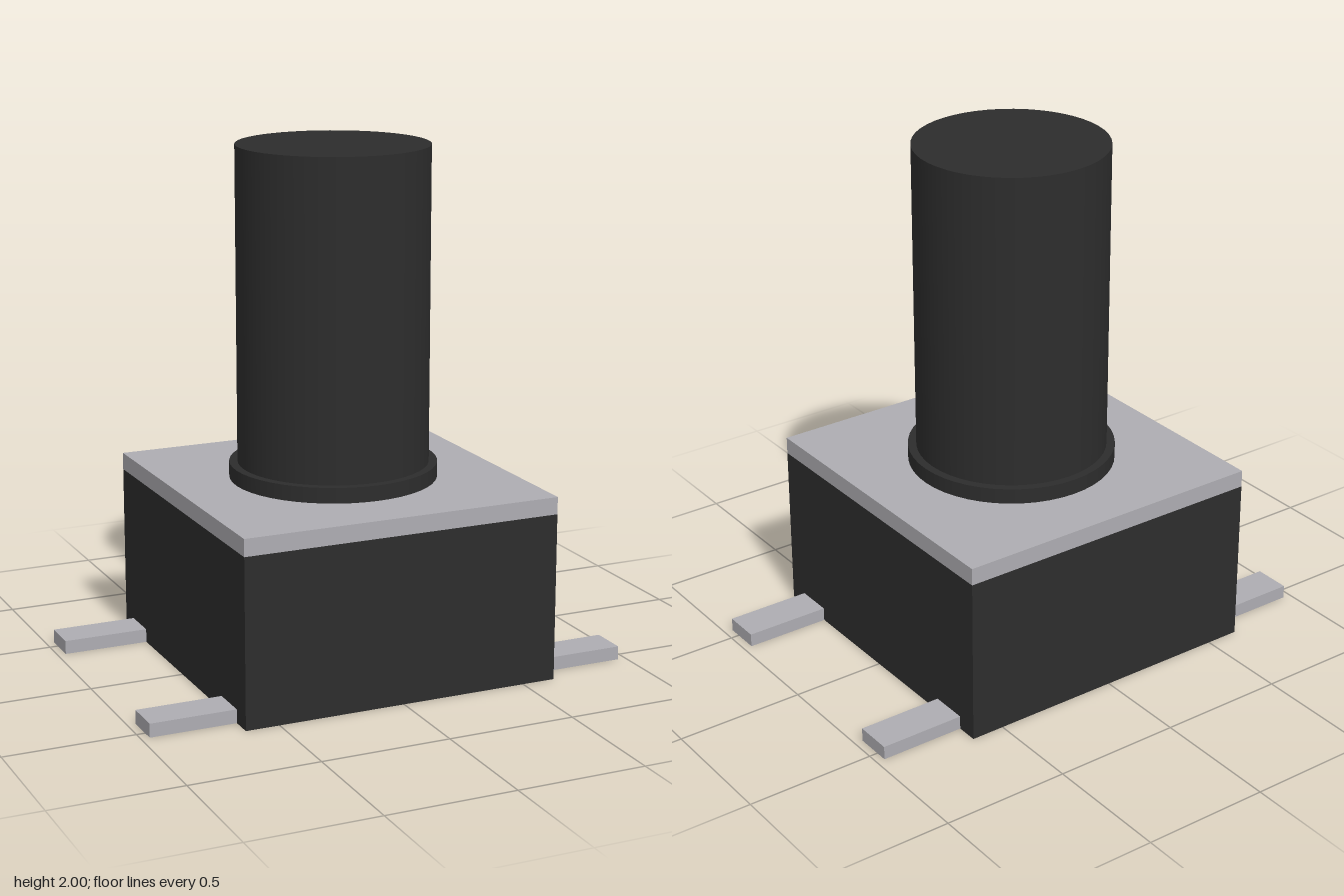
import * as THREE from 'three';

export function createModel() {
  const model = new THREE.Group();
  model.name = 'pushButtonSwitch';

  const plastic = new THREE.MeshStandardMaterial({ color: 0x2d2d2d });
  plastic.name = 'black plastic';
  const metal = new THREE.MeshStandardMaterial({ color: 0xaeadb2 });
  metal.name = 'grey metal';

  const add = (name, geometry, material, x, y, z) => {
    const mesh = new THREE.Mesh(geometry, material);
    mesh.name = name;
    mesh.position.set(x, y, z);
    model.add(mesh);
  };

  const half = 0.632; // half width of the square housing
  const bodyTop = 0.653, plateTop = 0.72, collarTop = 0.78, top = 2;

  // Adds a box or upright cylinder between two heights
  const block = (name, material, y0, y1) =>
    add(name, new THREE.BoxGeometry(half * 2, y1 - y0, half * 2), material, 0, (y0 + y1) / 2, 0);
  const column = (name, radius, y0, y1) =>
    add(name, new THREE.CylinderGeometry(radius, radius, y1 - y0, 48), plastic, 0, (y0 + y1) / 2, 0);

  // Housing and its metal cover
  block('housing', plastic, 0, bodyTop);
  block('coverPlate', metal, bodyTop, plateTop);

  // Collar and tall plunger
  column('collar', 0.4, plateTop, collarTop);
  column('plunger', 0.368, collarTop, top);

  // Four flat leads, mirrored left/right and front/back
  const leadEnd = 0.967, leadHeight = 0.053, leadWidth = 0.147;
  for (const sx of [1, -1]) {
    for (const sz of [1, -1]) {
      const name = (sz > 0 ? 'front' : 'back') + (sx > 0 ? 'Left' : 'Right') + 'Lead';
      add(name, new THREE.BoxGeometry(leadEnd - half, leadHeight, leadWidth), metal,
        sx * (half + leadEnd) / 2, leadHeight / 2, sz * 0.474);
    }
  }

  return model;
}
